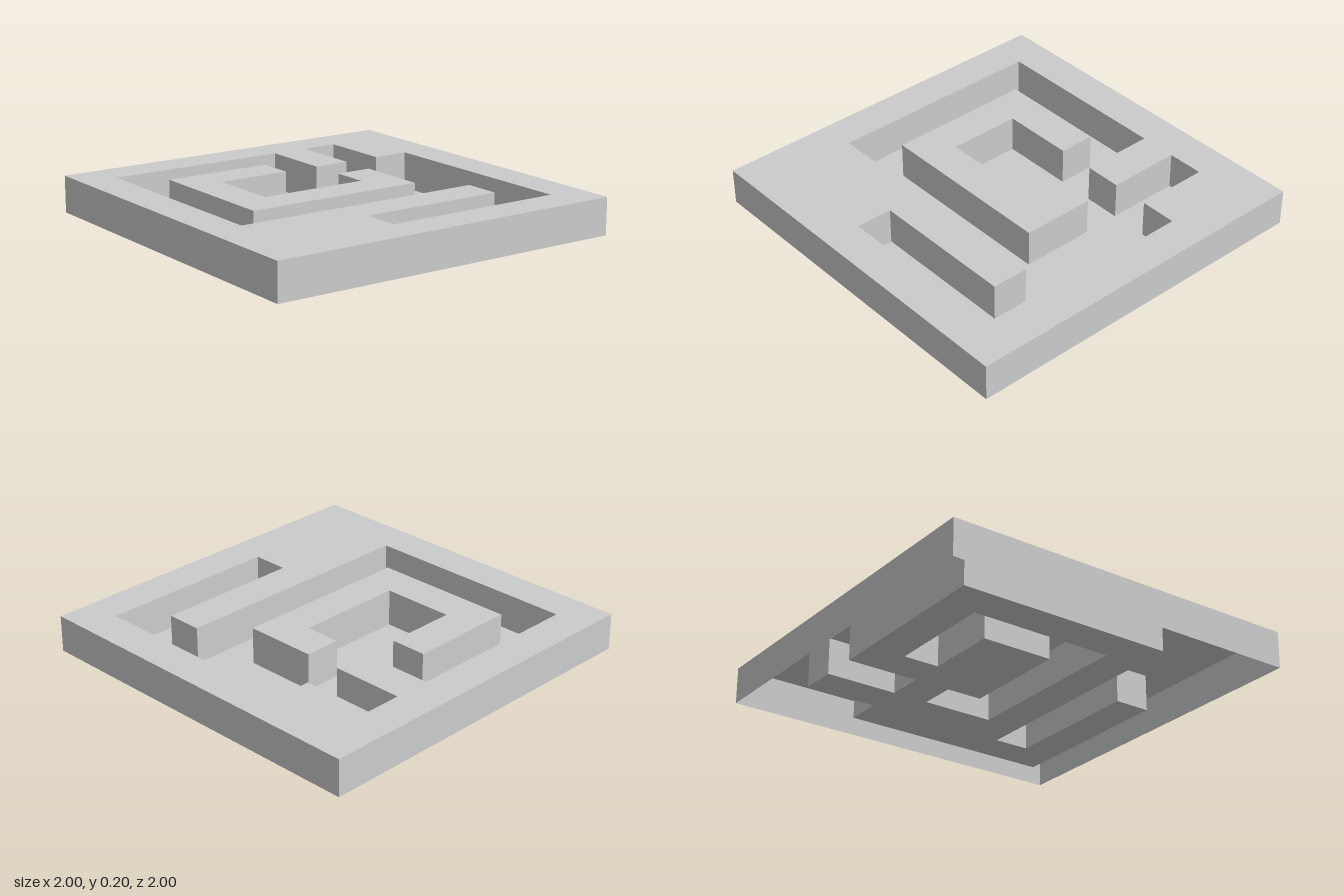
import * as THREE from 'three';

const HEIGHT = 0.2;

// Outlines as [x, z] corners, clockwise seen from above
const BOARD = [[-1, -1], [1, -1], [1, 1], [-1, 1]];
const CHANNEL = [
  [-0.8, -0.8], [0.2, -0.8], [0.2, -0.4], [0.4, -0.4], [0.4, -0.8], [0.6, -0.8], [0.6, -0.4],
  [0.8, -0.4], [0.8, 0.8], [-0.2, 0.8], [-0.2, 0.6], [0.6, 0.6], [0.6, 0.4], [-0.8, 0.4],
];
const ISLAND = [
  [-0.6, -0.6], [0, -0.6], [0, -0.4], [-0.4, -0.4], [-0.4, 0],
  [0.2, 0], [0.2, -0.2], [0.4, -0.2], [0.4, 0.2], [-0.6, 0.2],
];

// The board is a hollow sheet, open underneath
const material = new THREE.MeshStandardMaterial({
  color: 0xcccccc, flatShading: true, side: THREE.DoubleSide,
});

const toPoints = (outline) => outline.map(([x, z]) => new THREE.Vector2(x, -z));

// Flat upward-facing panel, optionally with a cut-out
function panel(name, outline, y, hole) {
  const shape = new THREE.Shape(toPoints(outline));
  if (hole) shape.holes.push(new THREE.Path(toPoints(hole)));
  const geometry = new THREE.ShapeGeometry(shape).rotateX(-Math.PI / 2).translate(0, y, 0);
  const mesh = new THREE.Mesh(geometry, material);
  mesh.name = name;
  return mesh;
}

// Vertical walls along a closed outline, facing inwards or outwards
function walls(name, outline, outward) {
  const loop = outward ? [...outline].reverse() : outline;
  const positions = [];
  loop.forEach(([ax, az], i) => {
    const [bx, bz] = loop[(i + 1) % loop.length];
    positions.push(ax, 0, az, bx, 0, bz, bx, HEIGHT, bz);
    positions.push(ax, 0, az, bx, HEIGHT, bz, ax, HEIGHT, az);
  });
  const geometry = new THREE.BufferGeometry();
  geometry.setAttribute('position', new THREE.Float32BufferAttribute(positions, 3));
  geometry.computeVertexNormals();
  const mesh = new THREE.Mesh(geometry, material);
  mesh.name = name;
  return mesh;
}

export function createModel() {
  const model = new THREE.Group();
  model.name = 'mazeBoard';
  model.add(
    panel('boardTop', BOARD, HEIGHT, CHANNEL),
    walls('outerSides', BOARD, true),
    panel('channelFloor', CHANNEL, 0, ISLAND),
    walls('channelWalls', CHANNEL, false),
    panel('islandTop', ISLAND, HEIGHT),
    walls('islandWalls', ISLAND, true),
  );
  return model;
}
